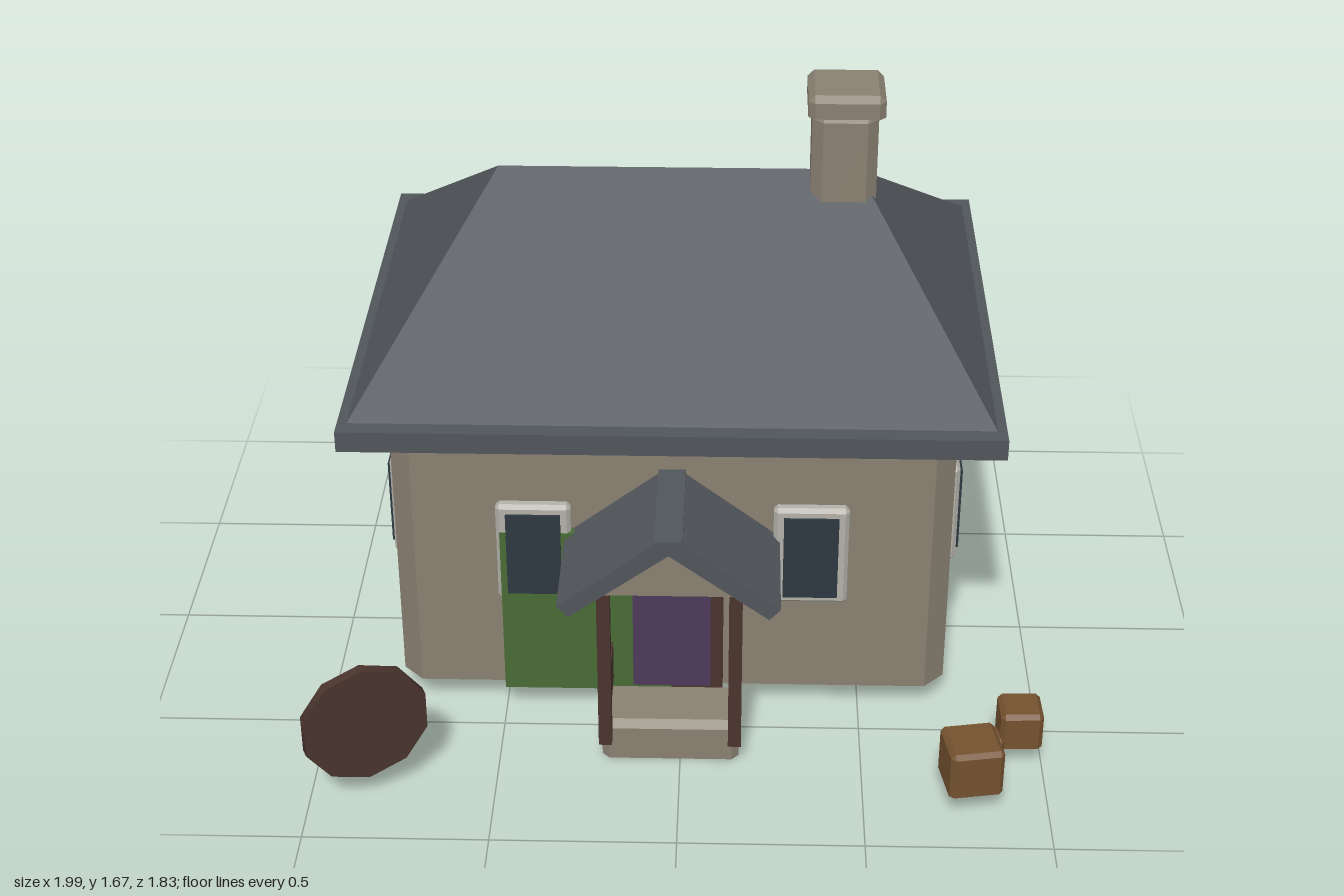
import * as THREE from 'three';

const mat = (name, color) => {
  const m = new THREE.MeshStandardMaterial({ color, side: THREE.DoubleSide });
  m.name = name;
  return m;
};

// Octagonal outline: a w x d rectangle with corners cut by c
function octagon(w, d, c, y) {
  const x = w / 2, z = d / 2;
  return [[x, z - c], [x, c - z], [x - c, -z], [c - x, -z], [-x, c - z], [-x, z - c], [c - x, z], [x - c, z]]
    .map(([px, pz]) => new THREE.Vector3(px, y, pz));
}

// Block with cut corners (c), a bevelled top (b) and an open bottom at y = 0
function blockGeometry(w, h, d, c, b = c, cap = true) {
  const rings = [octagon(w, d, c, 0), octagon(w, d, c, h - b), octagon(w - 2 * b, d - 2 * b, c - b, h)];
  const pts = [];
  for (let r = 0; r < 2; r++) {
    for (let i = 0; i < 8; i++) {
      const j = (i + 1) % 8, lo = rings[r], hi = rings[r + 1];
      pts.push(lo[i], lo[j], hi[j], lo[i], hi[j], hi[i]);
    }
  }
  if (cap) for (let i = 1; i < 7; i++) pts.push(rings[2][0], rings[2][i], rings[2][i + 1]);
  const g = new THREE.BufferGeometry().setFromPoints(pts);
  g.computeVertexNormals();
  return g;
}

// Flat outline pushed along z from z0 to z1
function extrude(points, z0, z1) {
  const shape = new THREE.Shape(points.map(([x, y]) => new THREE.Vector2(x, y)));
  return new THREE.ExtrudeGeometry(shape, { depth: z1 - z0, bevelEnabled: false }).translate(0, 0, z0);
}

export function createModel() {
  const house = new THREE.Group();
  house.name = 'cottage';
  const stone = mat('stone', 0x898071);
  const slate = mat('slate', 0x51565b);
  const trim = mat('windowTrim', 0xb2b0a8);
  const glass = mat('glass', 0x2f3840);
  const green = mat('greenPaint', 0x496b36);
  const purple = mat('purplePaint', 0x4c395a);
  const timber = mat('darkTimber', 0x4a342d);
  const crateWood = mat('crateWood', 0x74522f);

  const add = (name, geometry, material, x = 0, y = 0, z = 0, ry = 0, parent = house) => {
    const m = new THREE.Mesh(geometry, material);
    m.name = name;
    m.position.set(x, y, z);
    m.rotation.y = ry;
    parent.add(m);
    return m;
  };
  // Box given by its two opposite corners
  const box = (name, material, x0, x1, y0, y1, z0, z1) =>
    add(name, new THREE.BoxGeometry(x1 - x0, y1 - y0, z1 - z0), material,
      (x0 + x1) / 2, (y0 + y1) / 2, (z0 + z1) / 2);

  const cx = -0.027, cz = -0.193;

  // Walls, open above and below
  add('walls', blockGeometry(1.54, 0.84, 1.195, 0.057, 0.012, false), stone, cx, 0.08, cz);

  // Eaves slab and hipped roof
  box('eaves', slate, -0.914, 0.86, 0.912, 0.972, -0.915, 0.523);
  const hip = new THREE.BoxGeometry(1.723, 0.44, 1.341);
  const p = hip.attributes.position;
  for (let i = 0; i < p.count; i++) {
    if (p.getY(i) > 0) p.setXYZ(i, Math.sign(p.getX(i)) * 0.501, 0.22, 0);
  }
  hip.computeVertexNormals();
  add('hippedRoof', hip, slate, cx, 1.192, -0.196);

  // Chimney
  add('chimneyShaft', blockGeometry(0.182, 0.37, 0.172, 0.03), stone, 0.433, 1.25, -0.193);
  add('chimneyCap', blockGeometry(0.211, 0.064, 0.212, 0.018), stone, 0.435, 1.61, -0.193);

  // Windows, each standing slightly proud of its wall
  const frameGeometry = blockGeometry(0.206, 0.034, 0.308, 0.011).rotateX(Math.PI / 2);
  const glassGeometry = new THREE.BoxGeometry(0.15, 0.256, 0.009);
  const addWindow = (x, z, ry) => {
    const w = new THREE.Group();
    w.name = 'window';
    w.position.set(x, 0.535, z);
    w.rotation.y = ry;
    house.add(w);
    add('windowFrame', frameGeometry, trim, 0, 0, -0.005, 0, w);
    add('windowPane', glassGeometry, glass, 0, 0, 0.033, 0, w);
  };
  const xl = cx - 0.77, xr = cx + 0.77, zf = 0.4045, zb = -0.7905;
  addWindow(cx - 0.38, zf, 0);
  addWindow(cx + 0.38, zf, 0);
  addWindow(cx - 0.38, zb, Math.PI);
  for (const dz of [-0.3, 0.3]) {
    addWindow(xr, cz + dz, Math.PI / 2);
    addWindow(xl, cz + dz, -Math.PI / 2);
  }

  // Doors and green boards
  box('frontBoard', green, -0.5, -0.03, 0.08, 0.604, 0.402, 0.437);
  box('sideDoor', green, 0.738, 0.771, 0.08, 0.686, -0.36, -0.044);
  box('doorFrame', timber, -0.165, 0.115, 0.08, 0.555, 0.392, 0.43);
  box('frontDoor', purple, -0.137, 0.08, 0.1, 0.505, 0.41, 0.444);

  // Porch: step, posts, side rails, gable and roof
  add('step', blockGeometry(0.378, 0.122, 0.186, 0.02), stone, cx, 0, 0.553);
  for (const s of [-1, 1]) {
    const x = cx + s * 0.177;
    box('porchPost', timber, x - 0.018, x + 0.018, 0.08, 0.578, 0.655, 0.691);
    box('wallPost', timber, x - 0.018, x + 0.018, 0.08, 0.578, 0.403, 0.437);
    box('porchRail', timber, x - 0.011, x + 0.011, 0.12, 0.242, 0.43, 0.66);
  }
  add('porchGable', extrude([[-0.255, 0.58], [0.201, 0.58], [cx, 0.752]], 0.656, 0.69), stone);
  add('porchRoof', extrude([[-0.323, 0.583], [-0.064, 0.783], [0.01, 0.783], [0.268, 0.583],
    [0.238, 0.55], [cx, 0.748], [-0.292, 0.55]], 0.4, 0.75), slate);
  box('porchRidge', slate, -0.064, 0.01, 0.762, 0.796, 0.4, 0.757);

  // Round timber lid standing on edge
  add('roundLid', new THREE.CylinderGeometry(0.177, 0.177, 0.03, 10).rotateX(Math.PI / 2).toNonIndexed(),
    timber, -0.838, 0.257, 0.831, 0.42);

  // Crates: size, x, z, turn
  for (const [s, x, z, turn] of [[0.147, 0.787, 0.813, 0.17], [0.117, 0.934, 0.622, 0.03], [0.08, 0.838, 0.71, 0.24]]) {
    add('crate', blockGeometry(s, s * 0.93, s, 0.012), crateWood, x, 0.08, z, turn);
  }
  return house;
}
